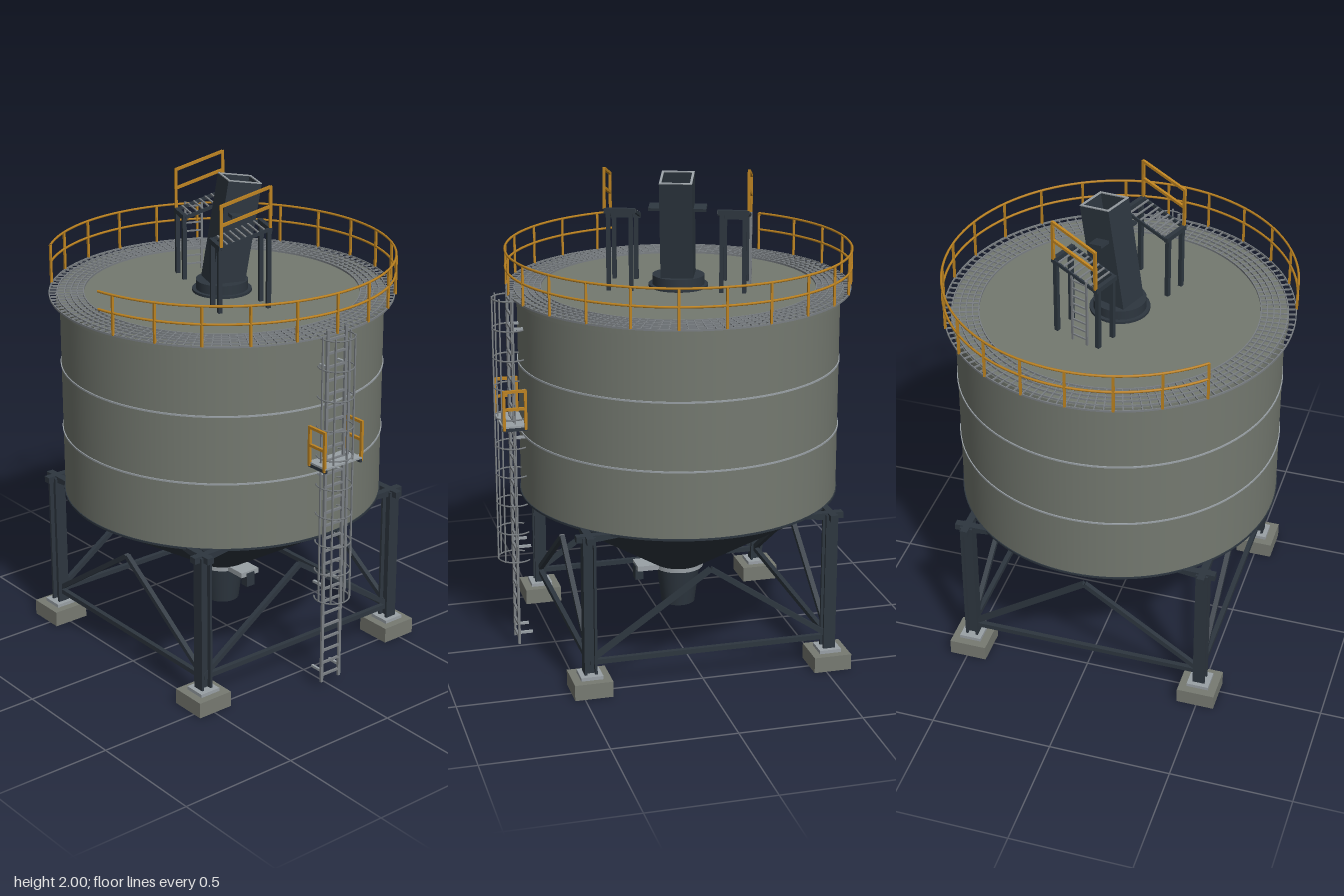
import * as THREE from 'three';

const mat = (name, color) => {
  const m = new THREE.MeshStandardMaterial({ color });
  m.name = name;
  return m;
};

export function createModel() {
  const shell = mat('shell grey', 0x747970);
  const dark = mat('dark steel', 0x2d363f);
  const grate = mat('walkway steel', 0x7b8084);
  const light = mat('galvanised steel', 0x9aa1a6);
  const yellow = mat('safety yellow', 0xbd8320);
  const concrete = mat('concrete', 0x777a72);

  const model = new THREE.Group();
  const silo = new THREE.Group();
  silo.name = 'silo';
  silo.position.x = -0.032;
  model.add(silo);

  // helpers
  const group = (name, parent) => {
    const g = new THREE.Group();
    g.name = name;
    parent.add(g);
    return g;
  };
  const add = (parent, name, geo, m, x = 0, y = 0, z = 0) => {
    const mesh = new THREE.Mesh(geo, m);
    mesh.name = name;
    mesh.position.set(x, y, z);
    parent.add(mesh);
    return mesh;
  };
  const box = (parent, name, m, w, h, d, x, y, z) =>
    add(parent, name, new THREE.BoxGeometry(w, h, d), m, x, y, z);
  const cyl = (parent, name, m, rt, rb, y0, y1, seg = 64) =>
    add(parent, name, new THREE.CylinderGeometry(rt, rb, y1 - y0, seg), m, 0, (y0 + y1) / 2, 0);
  const up = new THREE.Vector3(0, 1, 0);
  const bar = (parent, name, m, a, b, t, h = t) => {
    const p = new THREE.Vector3(...a), q = new THREE.Vector3(...b);
    const mesh = add(parent, name, new THREE.BoxGeometry(t, h, p.distanceTo(q)), m);
    mesh.position.copy(p).add(q).multiplyScalar(0.5);
    mesh.quaternion.setFromRotationMatrix(new THREE.Matrix4().lookAt(q, p, up));
  };
  const outline = (C, pts) => new C(pts.map(p => new THREE.Vector2(...p)));
  const rect = (C, w, d) => outline(C, [[-w, -d], [w, -d], [w, d], [-w, d]]);
  // upright extrusion of a shape lying in the ground plane
  const rise = (shape, h, curveSegments = 12) =>
    new THREE.ExtrudeGeometry(shape, { depth: h, bevelEnabled: false, curveSegments }).rotateX(-Math.PI / 2);
  const flatRing = (parent, name, m, r0, r1, y, h) => {
    const s = new THREE.Shape().absarc(0, 0, r1, 0, Math.PI * 2);
    s.holes.push(new THREE.Path().absarc(0, 0, r0, 0, Math.PI * 2));
    return add(parent, name, rise(s, h, 96), m, 0, y, 0);
  };

  // tank body, hopper and roof
  cyl(silo, 'tankShell', shell, 0.651, 0.651, 0.66, 1.5, 96);
  cyl(silo, 'topFlange', shell, 0.665, 0.665, 1.475, 1.502, 96);
  cyl(silo, 'lowerFlange', dark, 0.655, 0.655, 0.654, 0.662, 96);
  cyl(silo, 'hopperCone', dark, 0.648, 0.1, 0.31, 0.655, 96);
  for (const y of [0.935, 1.213])
    add(silo, 'seamBand', new THREE.CylinderGeometry(0.655, 0.655, 0.007, 96), light, 0, y, 0);

  // outlet with slide gate
  const outlet = group('outlet', silo);
  cyl(outlet, 'gateCollar', light, 0.105, 0.105, 0.295, 0.32, 32);
  cyl(outlet, 'spout', dark, 0.09, 0.07, 0.135, 0.297, 32);
  box(outlet, 'gateSlide', light, 0.12, 0.022, 0.09, 0.125, 0.307, 0);
  box(outlet, 'gateActuator', dark, 0.035, 0.06, 0.04, 0.172, 0.28, 0);

  // four legs, each with one bay of bracing
  const L = 0.495;
  const haunch = outline(THREE.Shape, [[0.05, 0.662], [-0.21, 0.662], [-0.16, 0.65], [-0.04, 0.636], [0.05, 0.636]]);
  const haunchGeo = new THREE.ExtrudeGeometry(haunch, { depth: 0.03, bevelEnabled: false }).translate(0, 0, -0.015);
  for (let k = 0; k < 4; k++) {
    const leg = group('legBay', silo);
    leg.rotation.y = k * Math.PI / 2;
    box(leg, 'footing', concrete, 0.155, 0.065, 0.155, L, 0.0325, L);
    box(leg, 'basePlate', light, 0.09, 0.014, 0.09, L, 0.072, L);
    for (const s of [-1, 1]) box(leg, 'legFlange', dark, 0.05, 0.58, 0.01, L, 0.366, L + s * 0.021);
    box(leg, 'legWeb', dark, 0.014, 0.58, 0.04, L, 0.366, L);
    add(leg, 'haunch', haunchGeo, dark, L, 0, L);
    add(leg, 'haunch', haunchGeo, dark, L, 0, L).rotation.y = -Math.PI / 2;
    bar(leg, 'tieBeam', dark, [-L, 0.125, L], [L, 0.125, L], 0.02);
    for (const s of [-1, 1]) bar(leg, 'diagonalBrace', dark, [s * L, 0.13, L], [0, 0.468, L], 0.02);
  }

  // open walkway grating around the roof
  const walkway = group('walkway', silo);
  [0.555, 0.58, 0.605, 0.63, 0.66, 0.692].forEach(r =>
    flatRing(walkway, 'gratingRing', grate, r - 0.002, r + 0.002, 1.503, 0.008));
  for (let i = 0; i < 120; i++) {
    const a = i * Math.PI / 60, c = Math.cos(a), s = Math.sin(a);
    bar(walkway, 'gratingBar', grate, [c * 0.555, 1.506, s * 0.555], [c * 0.692, 1.506, s * 0.692], 0.005, 0.006);
  }

  // guard rail with an opening at the front
  const guard = group('guardRail', silo);
  const deg = Math.PI / 180;
  for (const y of [1.596, 1.667])
    add(guard, 'rail', new THREE.TorusGeometry(0.694, 0.005, 6, 96, 306 * deg)
      .rotateZ(135 * deg).rotateX(Math.PI / 2), yellow, 0, y, 0);
  for (let i = 0; i <= 20; i++) {
    const a = (135 + i * 15) * deg;
    box(guard, 'railPost', yellow, 0.009, 0.16, 0.009, 0.694 * Math.cos(a), 1.587, 0.694 * Math.sin(a));
  }

  // inlet chute: a hollow leaning box on a round base
  const top = group('roofEquipment', silo);
  top.rotation.y = -0.35;
  cyl(top, 'chuteFlange', dark, 0.12, 0.12, 1.5, 1.512, 32);
  cyl(top, 'chuteBase', dark, 0.105, 0.105, 1.51, 1.55, 32);
  const chute = group('inletChute', top);
  chute.position.y = 1.52;
  chute.rotation.x = -0.17;
  const duct = rect(THREE.Shape, 0.065, 0.07);
  duct.holes.push(rect(THREE.Path, 0.056, 0.061));
  add(chute, 'chuteWalls', rise(duct, 0.441), dark);
  add(chute, 'chuteRim', rise(duct, 0.004), light, 0, 0.441, 0);
  box(chute, 'chuteBaffle', light, 0.112, 0.008, 0.06, 0, 0.37, 0.03);
  for (const s of [-1, 1]) box(chute, 'sideBracket', dark, 0.05, 0.012, 0.06, s * 0.09, 0.31, 0.02);

  // two sloping access decks, one on each side of the chute
  for (const s of [-1, 1]) {
    const deck = group(s < 0 ? 'rightDeck' : 'leftDeck', top);
    deck.position.x = s * 0.225;
    const slope = z => 1.802 - z * 0.3;
    for (const z of [-0.1, 0.1]) {
      box(deck, 'endBeam', dark, 0.125, 0.02, 0.018, 0, slope(z) - 0.006, z);
      for (const x of [-0.045, 0.045])
        box(deck, 'deckPost', dark, 0.017, slope(z) - 1.505, 0.017, x, (slope(z) + 1.495) / 2, z);
      box(deck, 'handrailPost', yellow, 0.011, 0.166, 0.011, s * 0.06, slope(z) + 0.083, z);
    }
    for (const x of [-0.06, 0.06])
      bar(deck, 'sideBeam', dark, [x, slope(-0.1) - 0.006, -0.1], [x, slope(0.1) - 0.006, 0.1], 0.008, 0.014);
    for (let i = 1; i < 8; i++) {
      const z = -0.1 + i * 0.025;
      box(deck, 'deckSlat', grate, 0.12, 0.005, 0.007, 0, slope(z) + 0.002, z);
    }
    for (const h of [0.085, 0.162])
      bar(deck, 'handrail', yellow, [s * 0.06, slope(-0.1) + h, -0.1], [s * 0.06, slope(0.1) + h, 0.1], 0.011);
  }

  // short ladder up to the right-hand deck
  const shortLadder = group('deckLadder', top);
  for (const z of [-0.01, 0.06]) box(shortLadder, 'stringer', grate, 0.008, 0.29, 0.008, -0.288, 1.65, z);
  for (let i = 0; i < 8; i++) box(shortLadder, 'rung', grate, 0.006, 0.006, 0.07, -0.288, 1.53 + i * 0.035, 0.025);

  // main ladder with standoffs
  const ladder = group('mainLadder', model);
  for (const z of [-0.046, 0.046]) {
    box(ladder, 'stringer', grate, 0.01, 1.5, 0.012, 0.66, 0.78, z);
    for (const y of [0.08, 0.46, 0.93, 1.38]) box(ladder, 'standoff', light, 0.056, 0.01, 0.01, 0.631, y, z);
  }
  for (let i = 0; i < 27; i++) box(ladder, 'rung', grate, 0.009, 0.009, 0.092, 0.66, 0.06 + i * 0.055, 0);

  // safety cage
  const cage = group('ladderCage', model);
  for (let i = 0; i < 10; i++)
    add(cage, 'hoop', new THREE.TorusGeometry(0.07, 0.0035, 4, 24, Math.PI * 1.5).rotateZ(-0.75 * Math.PI)
      .rotateX(Math.PI / 2), grate, 0.66, 0.4 + i * 0.122, 0);
  for (const a of [-90, -45, 0, 45, 90])
    box(cage, 'cageStrap', grate, 0.006, 1.11, 0.006, 0.66 + 0.07 * Math.cos(a * deg), 0.953, 0.07 * Math.sin(a * deg));

  // rest platform halfway up the ladder
  const rest = group('restPlatform', model);
  box(rest, 'platformPlate', light, 0.1, 0.008, 0.19, 0.665, 0.99, 0);
  for (const s of [-1, 1]) {
    box(rest, 'platformEdge', dark, 0.1, 0.014, 0.01, 0.665, 0.979, s * 0.09);
    for (const x of [0.622, 0.709]) box(rest, 'platformPost', yellow, 0.011, 0.165, 0.011, x, 1.06, s * 0.095);
    for (const y of [1.065, 1.138]) box(rest, 'platformRail', yellow, 0.095, 0.011, 0.011, 0.667, y, s * 0.095);
  }
  return model;
}
